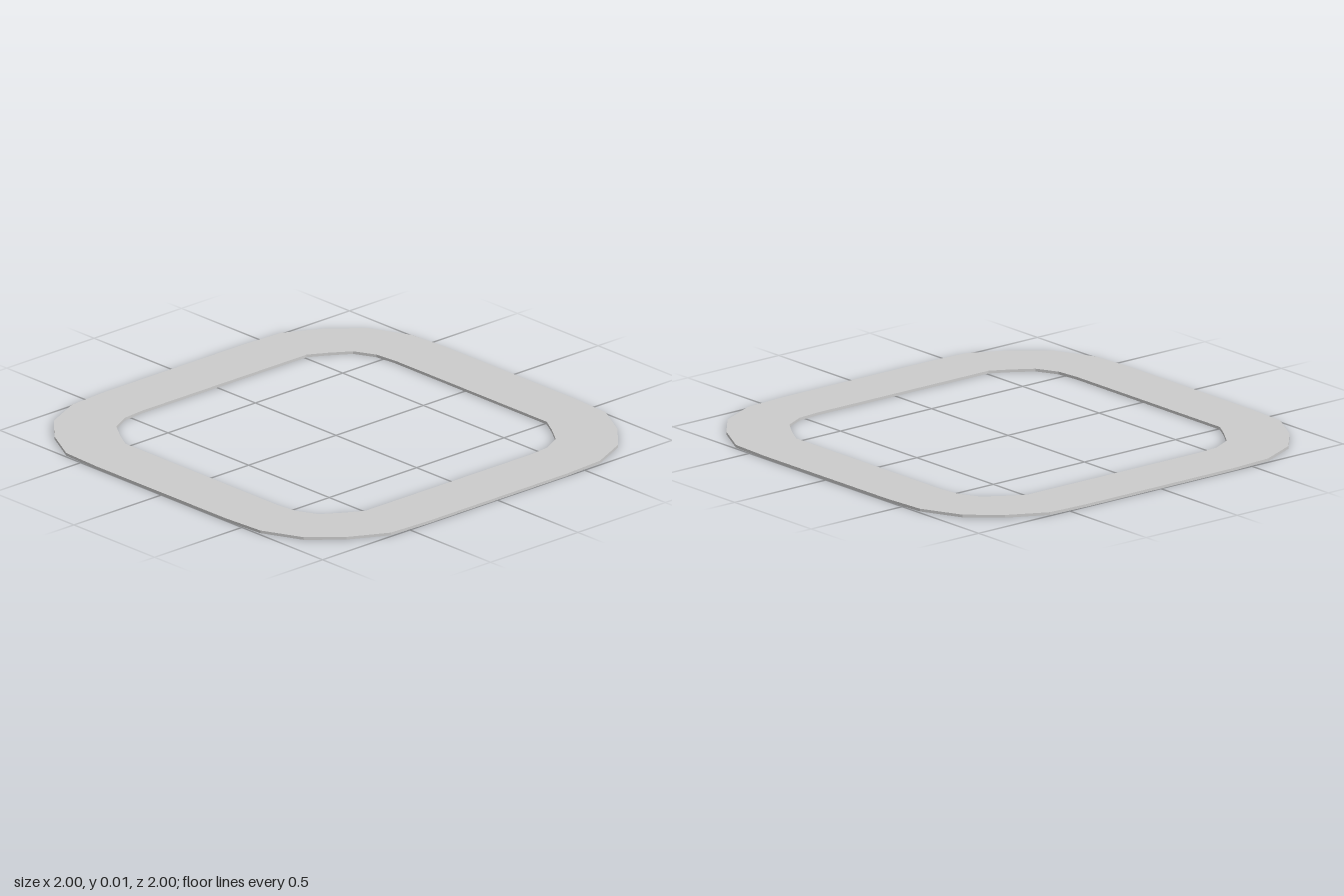
import * as THREE from 'three';

const THICKNESS = 0.012;

// One corner as [x, z] points, repeated by quarter turns
const outerCorner = [[-1, -0.4], [-0.99, -0.6], [-0.9, -0.77], [-0.78, -0.905], [-0.6, -0.987], [-0.4, -1]];
const innerCorner = [[-0.735, -0.51], [-0.69, -0.59], [-0.63, -0.68], [-0.535, -0.727], [-0.43, -0.737]];

function loopFromCorner(corner) {
  const points = [];
  for (let i = 0; i < 4; i++) {
    for (const [x, z] of corner) {
      points.push(new THREE.Vector2([x, -z, -x, z][i], [z, x, -z, -x][i]));
    }
  }
  return points;
}

export function createModel() {
  const group = new THREE.Group();
  group.name = 'flatFrame';

  // Thin rounded-square ring, laid flat on the ground
  const outline = new THREE.Shape(loopFromCorner(outerCorner));
  outline.holes.push(new THREE.Path(loopFromCorner(innerCorner)));
  const geometry = new THREE.ExtrudeGeometry(outline, { depth: THICKNESS, bevelEnabled: false });
  geometry.rotateX(Math.PI / 2).translate(0, THICKNESS, 0);

  const ring = new THREE.Mesh(
    geometry,
    new THREE.MeshStandardMaterial({ color: 0xcccccc, flatShading: true })
  );
  ring.name = 'roundedSquareRing';
  group.add(ring);
  return group;
}
